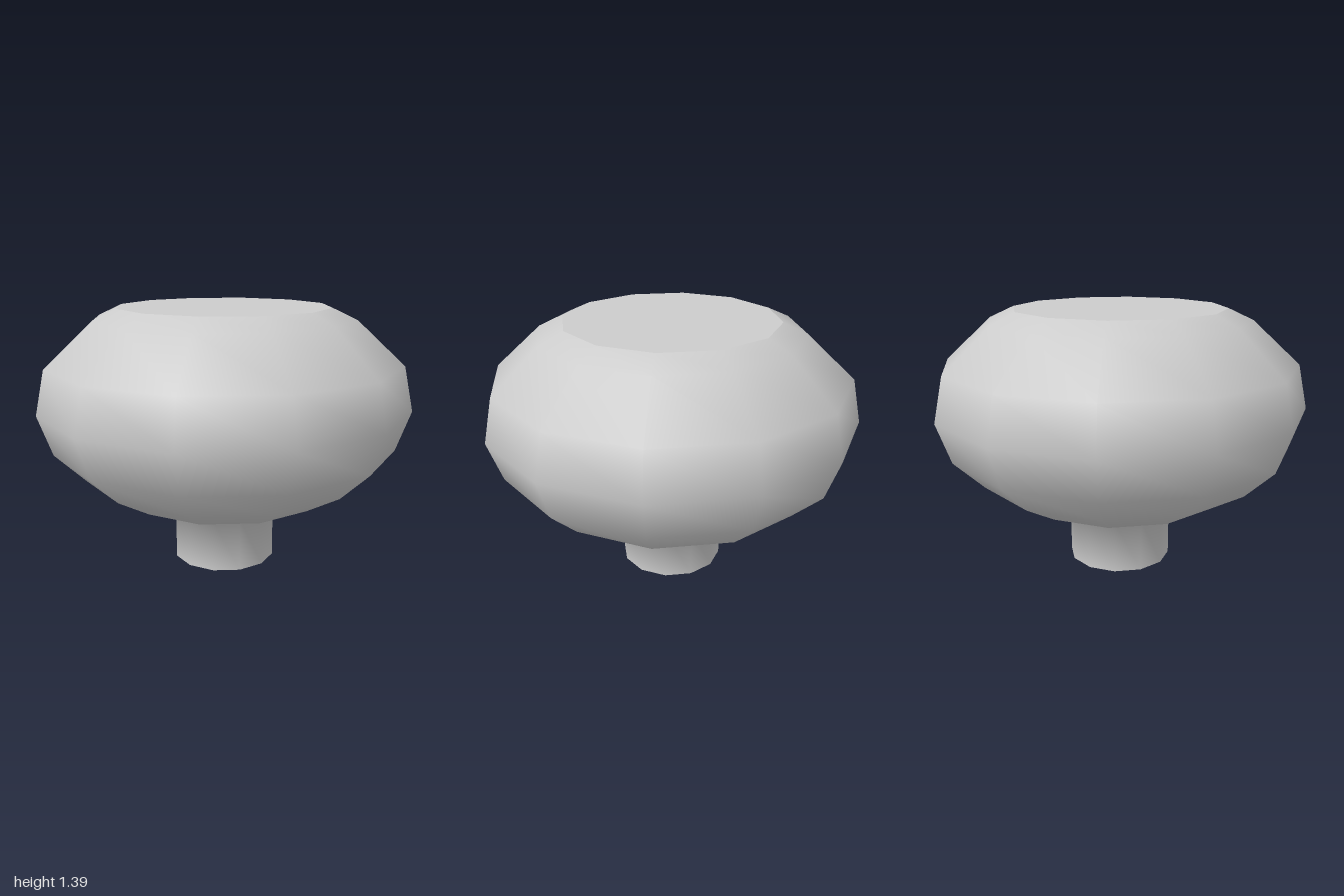
import * as THREE from 'three';

const SIDES = 12;

export function createModel() {
  const group = new THREE.Group();
  const material = new THREE.MeshStandardMaterial({ color: 0xcccccc });

  const add = (name, geometry) => {
    const mesh = new THREE.Mesh(geometry, material);
    mesh.name = name;
    group.add(mesh);
    return mesh;
  };

  // Stem flaring into the rounded knob, as one smooth turned surface
  const profile = [
    [0.28, 0], [0.28, 0.285], [0.57, 0.385], [0.765, 0.5], [0.925, 0.655],
    [1, 0.87], [0.95, 1.105], [0.7, 1.335], [0.57, 1.395],
  ].map(([r, y]) => new THREE.Vector2(r, y));
  add('knobBody', new THREE.LatheGeometry(profile, SIDES));

  // Flat discs with hard edges close both ends
  const cap = (name, radius, y, tilt) => {
    const disc = new THREE.CircleGeometry(radius, SIDES).rotateX(tilt);
    add(name, disc).position.y = y;
  };
  cap('topFace', 0.57, 1.395, -Math.PI / 2);
  cap('stemBase', 0.28, 0, Math.PI / 2);

  return group;
}
